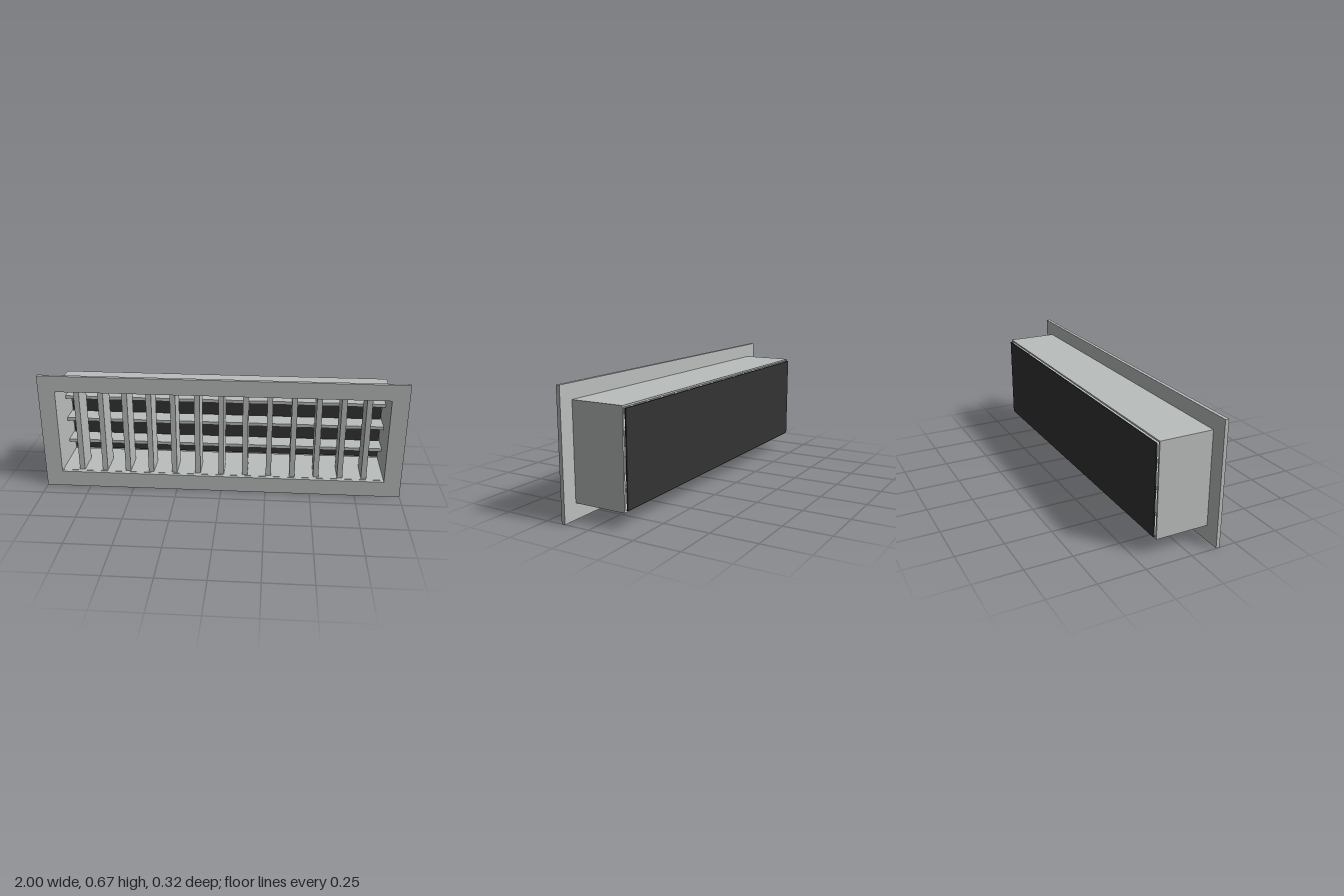
import * as THREE from 'three';

export function createModel() {
  const group = new THREE.Group();
  group.name = 'ventGrille';
  const metal = new THREE.MeshStandardMaterial({ color: 0xbabebd });
  metal.name = 'paleGreyMetal';
  const dark = new THREE.MeshStandardMaterial({ color: 0x333333 });
  dark.name = 'darkBacking';

  const midY = 0.335;
  const innerW = 1.814, innerH = 0.486;

  function add(name, geometry, material, x, y, z) {
    const mesh = new THREE.Mesh(geometry, material);
    mesh.name = name;
    mesh.position.set(x, y, z);
    group.add(mesh);
  }

  // Rectangular ring of the given outer size, extruded along z
  function ring(w, h, depth) {
    const rect = (target, a, b) => target.moveTo(-a, -b).lineTo(a, -b).lineTo(a, b).lineTo(-a, b).closePath();
    const shape = rect(new THREE.Shape(), w / 2, h / 2);
    shape.holes.push(rect(new THREE.Path(), innerW / 2, innerH / 2));
    return new THREE.ExtrudeGeometry(shape, { depth, bevelEnabled: false });
  }

  // Front flange and the duct sleeve behind it
  add('frontFrame', ring(2, 0.667, 0.02), metal, 0, 0.3335, 0.14);
  add('ductSleeve', ring(1.834, 0.504, 0.287), metal, 0, midY, -0.147);

  // Upright fins, slightly recessed
  for (let i = -6; i <= 6; i++) {
    add('verticalFin', new THREE.BoxGeometry(0.03, innerH, 0.15), metal, i * 0.133, midY, 0.055);
  }

  // Level blades behind the fins
  for (let i = -1; i <= 1; i++) {
    add('horizontalBlade', new THREE.BoxGeometry(innerW, 0.018, 0.11), metal, 0, midY + i * 0.137, -0.08);
  }

  // Dark plate just behind the sleeve
  add('backPlate', new THREE.BoxGeometry(1.814, 0.481, 0.007), dark, 0, 0.334, -0.156);

  return group;
}
